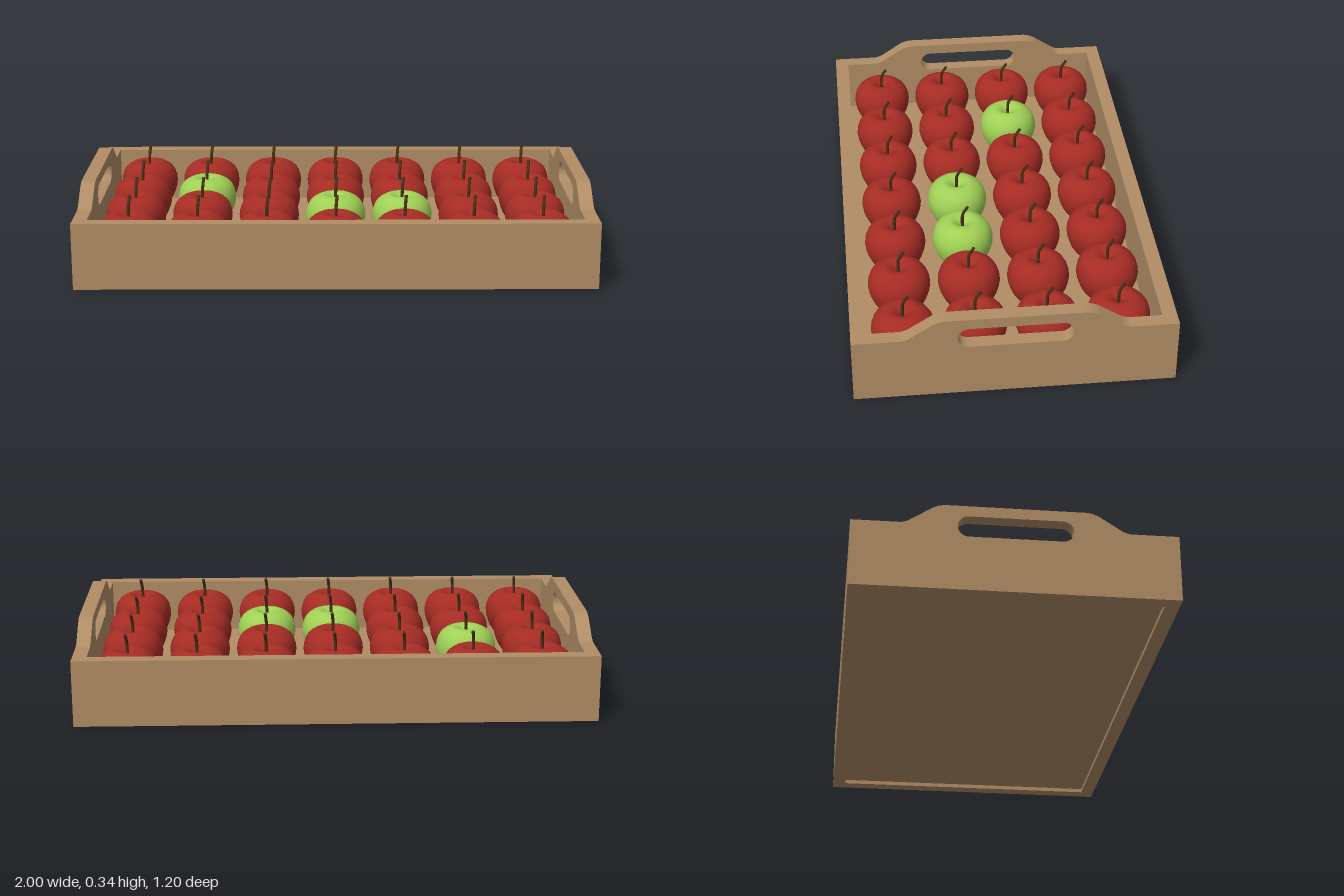
import * as THREE from 'three';

const WALL = 0.055, RIM = 0.26, HANDLE = 0.34, DEPTH = 1.195;

function mat(name, color) {
  const m = new THREE.MeshStandardMaterial({ color });
  m.name = name;
  return m;
}

// End wall outline with raised handle and rounded grip slot, drawn in (z, y)
function endWallGeometry() {
  const h = DEPTH / 2;
  const s = new THREE.Shape();
  s.moveTo(-h, 0);
  s.lineTo(h, 0);
  s.lineTo(h, RIM);
  s.lineTo(0.425, RIM);
  s.quadraticCurveTo(0.405, RIM, 0.385, 0.272);
  s.lineTo(0.305, 0.325);
  s.quadraticCurveTo(0.28, HANDLE, 0.25, HANDLE);
  s.lineTo(-0.25, HANDLE);
  s.quadraticCurveTo(-0.28, HANDLE, -0.305, 0.325);
  s.lineTo(-0.385, 0.272);
  s.quadraticCurveTo(-0.405, RIM, -0.425, RIM);
  s.lineTo(-h, RIM);
  s.closePath();

  const slot = new THREE.Path();
  const r = 0.0415, cx = 0.212 - r, cy = 0.2565;
  slot.absarc(-cx, cy, r, Math.PI * 1.5, Math.PI * 0.5, true);
  slot.absarc(cx, cy, r, Math.PI * 0.5, -Math.PI * 0.5, true);
  slot.closePath();
  s.holes.push(slot);

  const g = new THREE.ExtrudeGeometry(s, { depth: WALL, bevelEnabled: false, curveSegments: 10 });
  g.translate(0, 0, -WALL / 2);
  g.rotateY(-Math.PI / 2);
  return g;
}

// Apple body: turned profile with a dimple at both ends
function appleGeometry() {
  const profile = new THREE.SplineCurve([
    [0, 0.062], [0.02, 0.052], [0.045, 0.043], [0.075, 0.058], [0.104, 0.1],
    [0.12, 0.16], [0.106, 0.213], [0.072, 0.241], [0.045, 0.245], [0.02, 0.232], [0, 0.212],
  ].map(([x, y]) => new THREE.Vector2(x, y)));
  const pts = profile.getPoints(26);
  pts.forEach((p) => { p.x = Math.max(p.x, 0); });
  return new THREE.LatheGeometry(pts, 32);
}

export function createModel() {
  const wood = mat('wood', 0xb08d65);
  const red = mat('red skin', 0xa52c24);
  const green = mat('green skin', 0x9fd055);
  const brown = mat('stem brown', 0x4a3115);

  const model = new THREE.Group();
  model.name = 'appleTray';
  const add = (parent, name, geometry, material, x = 0, y = 0, z = 0) => {
    const mesh = new THREE.Mesh(geometry, material);
    mesh.name = name;
    mesh.position.set(x, y, z);
    parent.add(mesh);
    return mesh;
  };

  // Tray: two handled ends, two long sides, slightly raised floor
  const tray = new THREE.Group();
  tray.name = 'tray';
  model.add(tray);
  const end = endWallGeometry();
  const side = new THREE.BoxGeometry(2 - 2 * WALL, RIM, WALL);
  for (const s of [-1, 1]) {
    add(tray, s > 0 ? 'leftEndWall' : 'rightEndWall', end, wood, s * (1 - WALL / 2));
    add(tray, s > 0 ? 'frontWall' : 'backWall', side, wood, 0, RIM / 2, s * (DEPTH - WALL) / 2);
  }
  add(tray, 'floor', new THREE.BoxGeometry(2 - 2 * WALL, 0.025, DEPTH - 2 * WALL), wood, 0, 0.0285);

  // Apples: four rows of seven, three of them green
  const body = appleGeometry();
  const stemPath = new THREE.CatmullRomCurve3([
    new THREE.Vector3(0, 0.2, 0),
    new THREE.Vector3(0, 0.245, 0.001),
    new THREE.Vector3(0.001, 0.275, -0.001),
    new THREE.Vector3(0.005, 0.311, -0.02),
  ]);
  const stem = new THREE.TubeGeometry(stemPath, 10, 0.0062, 8);
  // Closing disc for the stem tip
  const tip = new THREE.CircleGeometry(0.0062, 8);
  tip.lookAt(stemPath.getTangent(1));
  tip.translate(0.005, 0.311, -0.02);

  const greens = new Set(['1,1', '2,3', '2,4']);
  for (let row = 0; row < 4; row++) {
    for (let col = 0; col < 7; col++) {
      const apple = new THREE.Group();
      apple.name = `apple_${row}_${col}`;
      apple.position.set((col - 3) * 0.268, 0, (row - 1.5) * 0.269 - 0.003);
      add(apple, 'appleBody', body, greens.has(`${row},${col}`) ? green : red);
      add(apple, 'stem', stem, brown);
      add(apple, 'stemTip', tip, brown);
      model.add(apple);
    }
  }
  return model;
}
